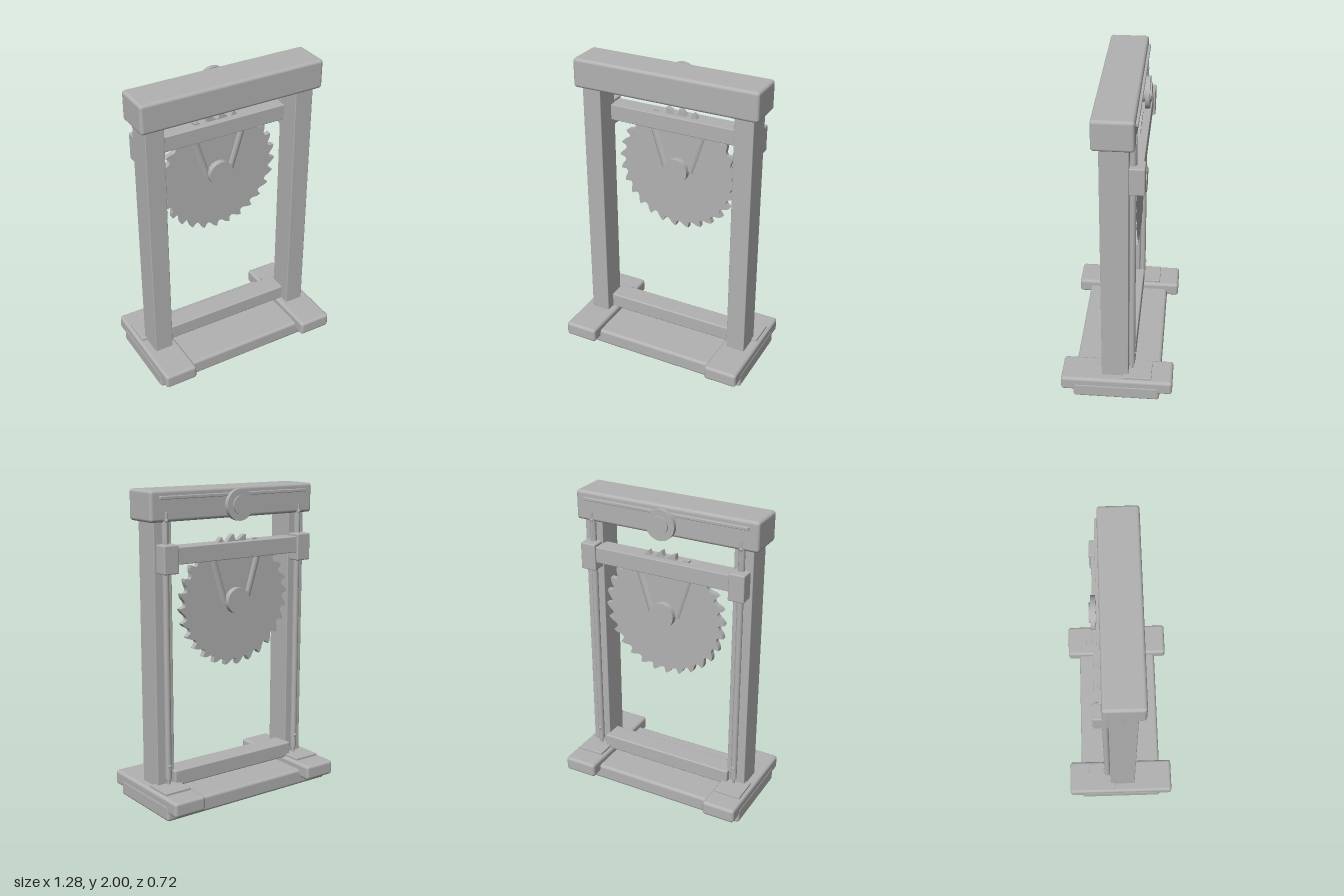
import * as THREE from 'three';
import { RoundedBoxGeometry } from 'three/addons/geometries/RoundedBoxGeometry.js';

export function createModel() {
  const model = new THREE.Group();
  const grey = new THREE.MeshStandardMaterial({ color: 0xb2b2b2 });
  grey.name = 'plainGrey';

  const add = (name, geometry, x = 0, y = 0, z = 0) => {
    const mesh = new THREE.Mesh(geometry, grey);
    mesh.name = name;
    mesh.position.set(x, y, z);
    model.add(mesh);
    return mesh;
  };
  // Box given by its limits, with softened edges
  const block = (name, [x0, x1], [y0, y1], [z0, z1], r = 0.005) =>
    add(name, new RoundedBoxGeometry(x1 - x0, y1 - y0, z1 - z0, 3, r),
      (x0 + x1) / 2, (y0 + y1) / 2, (z0 + z1) / 2);
  // Same box on both sides
  const pair = (name, [x0, x1], y, z, r) => {
    block(name + 'Left', [x0, x1], y, z, r);
    block(name + 'Right', [-x1, -x0], y, z, r);
  };
  // Disc facing front and back
  const disc = (name, r, y, z0, z1) =>
    add(name, new THREE.CylinderGeometry(r, r, z1 - z0, 48).rotateX(Math.PI / 2), 0, y, (z0 + z1) / 2);

  // Base and frame
  block('baseSlab', [-0.64, 0.64], [0, 0.105], [-0.28, 0.28], 0.02);
  pair('foot', [0.413, 0.637], [0.05, 0.147], [-0.362, 0.36], 0.02);
  pair('railPlate', [0.435, 0.615], [0.12, 0.162], [-0.225, -0.04], 0.004);
  pair('post', [0.455, 0.58], [0.13, 1.83], [-0.075, 0.097]);
  block('lowerRail', [-0.47, 0.47], [0.14, 0.242], [-0.11, 0.03], 0.01);
  block('headBeam', [-0.62, 0.62], [1.81, 2], [-0.11, 0.138], 0.02);

  // Guide rods with thin cables, pins and end hooks
  for (const s of [1, -1]) {
    const side = s > 0 ? 'Left' : 'Right';
    add('guideRod' + side, new THREE.CylinderGeometry(0.02, 0.02, 1.62, 20), s * 0.512, 1.01, -0.094);
    add('rodCore' + side, new THREE.CylinderGeometry(0.01, 0.01, 1.7, 12), s * 0.512, 1.0, -0.094);
    add('cableEnd' + side, new THREE.CylinderGeometry(0.009, 0.009, 0.2, 10), s * 0.512, 1.77, -0.108);
    for (const y of [0.285, 1.82])
      add('rodPin' + side, new THREE.SphereGeometry(0.013, 12, 8), s * 0.512, y, -0.108);
  }

  // Sliding carriage
  pair('slider', [0.46, 0.565], [1.505, 1.68], [-0.166, -0.072], 0.008);
  block('carriageBeam', [-0.47, 0.47], [1.558, 1.662], [-0.153, -0.03]);

  // Toothed blade: slow rise to each tip, then a steep drop into a round gullet
  const teeth = 28, bladeY = 1.288, bladeZ = -0.09;
  const outline = [];
  const tooth = [[0, 0.381], [0.16, 0.379], [0.34, 0.386], [0.52, 0.402], [0.68, 0.413], [0.86, 0.42], [0.9, 0.405], [0.94, 0.39]];
  for (let i = 0; i < teeth; i++)
    for (const [t, r] of tooth) {
      const a = (i + t) / teeth * Math.PI * 2;
      outline.push(new THREE.Vector2(Math.cos(a) * r, Math.sin(a) * r));
    }
  const blade = new THREE.ExtrudeGeometry(new THREE.Shape(outline), { depth: 0.036, bevelEnabled: false });
  add('sawBlade', blade, 0, bladeY, bladeZ - 0.018);
  disc('bladeHub', 0.083, bladeY, -0.147, -0.033);

  // Arms holding the hub
  for (const s of [1, -1]) {
    const top = new THREE.Vector2(s * 0.185, 1.6), low = new THREE.Vector2(s * 0.086, 1.285);
    const d = top.clone().sub(low);
    const arm = add(s > 0 ? 'armLeft' : 'armRight',
      new THREE.CylinderGeometry(0.031, 0.031, d.length(), 20).scale(1, 1, 0.9),
      (top.x + low.x) / 2, (top.y + low.y) / 2, bladeZ);
    arm.rotation.z = -Math.atan2(d.x, d.y);
  }

  // Pulley wheel and cable strip on the back of the head beam
  disc('pulleyRim', 0.098, 1.89, -0.158, -0.13);
  disc('pulleyHub', 0.057, 1.89, -0.168, -0.1);
  block('cableStrip', [-0.56, 0.56], [1.945, 1.965], [-0.126, -0.1], 0.004);

  return model;
}
